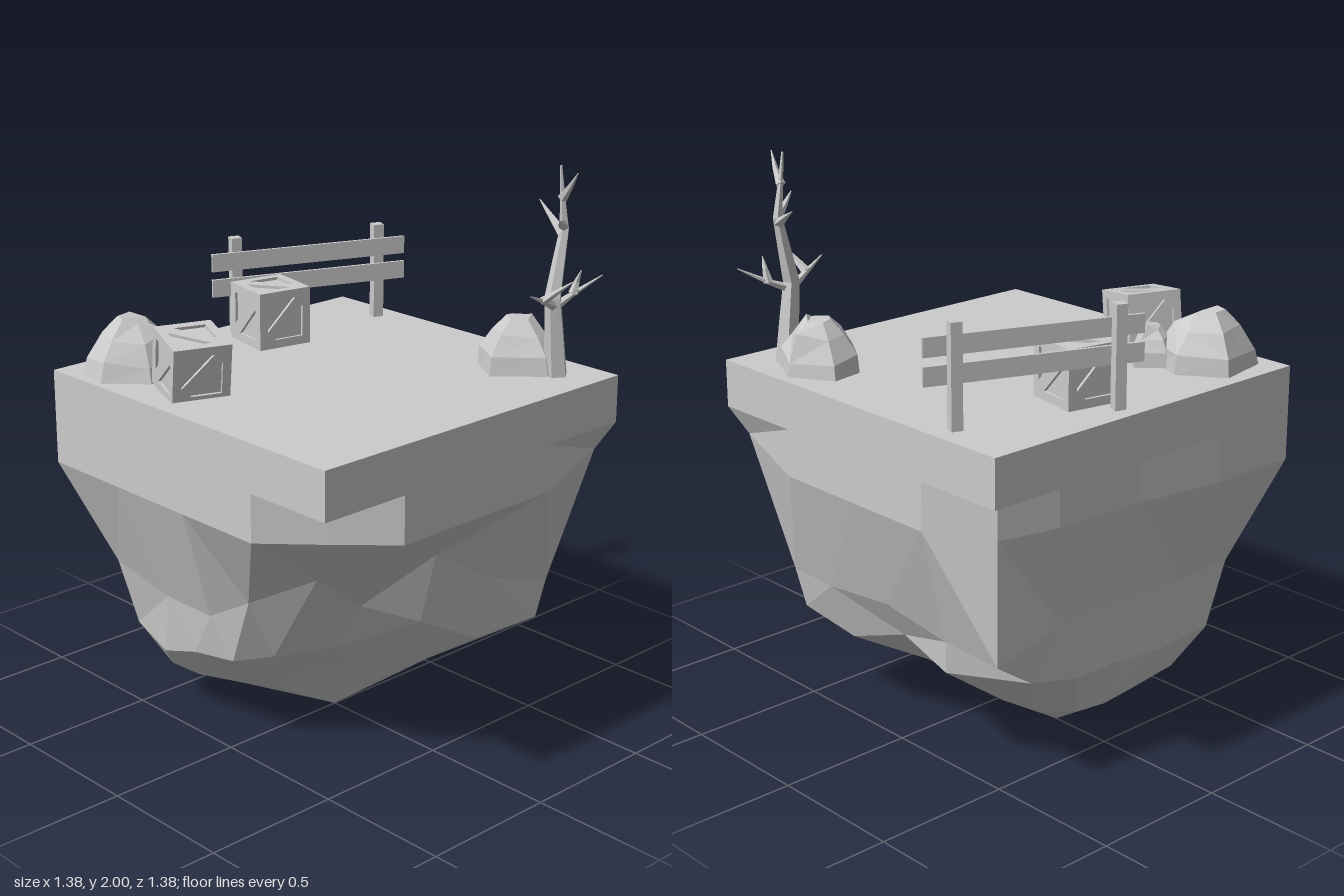
import * as THREE from 'three';

const V = (x, y, z) => new THREE.Vector3(x, y, z);
const material = new THREE.MeshStandardMaterial({ color: 0xcccccc, flatShading: true });

function add(parent, geometry, name, x = 0, y = 0, z = 0) {
  const mesh = new THREE.Mesh(geometry, material);
  mesh.name = name;
  mesh.position.set(x, y, z);
  parent.add(mesh);
  return mesh;
}

// Faceted skin over closed rings, given from bottom to top and counter-clockwise, capped at both ends
function loft(rings) {
  const points = [];
  const tri = (a, b, c) => {
    if (new THREE.Triangle(a, b, c).getArea() > 1e-7) points.push(a, b, c);
  };
  const n = rings[0].length, last = rings[rings.length - 1];
  for (let k = 0; k + 1 < rings.length; k++) {
    const a = rings[k], b = rings[k + 1];
    for (let i = 0; i < n; i++) {
      const j = (i + 1) % n;
      // split each quad along its shorter diagonal
      if (a[i].distanceTo(b[j]) < a[j].distanceTo(b[i])) {
        tri(a[i], a[j], b[j]);
        tri(a[i], b[j], b[i]);
      } else {
        tri(a[i], a[j], b[i]);
        tri(a[j], b[j], b[i]);
      }
    }
  }
  for (let i = 1; i + 1 < n; i++) {
    tri(rings[0][0], rings[0][i + 1], rings[0][i]);
    tri(last[0], last[i], last[i + 1]);
  }
  const geometry = new THREE.BufferGeometry().setFromPoints(points);
  geometry.computeVertexNormals();
  return geometry;
}

// Square ground slab whose underside shrinks through uneven rings to a short ridge
function islandGeometry() {
  const H = 0.69;
  const corners = [[-H, H], [H, H], [H, -H], [-H, -H]];
  const square = [];
  corners.forEach(([x, z], c) => {
    const [nx, nz] = corners[(c + 1) % 4];
    for (let k = 0; k < 4; k++) square.push([x + (nx - x) * k / 4, z + (nz - z) * k / 4]);
  });
  const level = (y) => square.map(([x, z]) => V(x, y, z));

  // below the slab two opposite corners are cut off and the back steps in
  const cut = (y) => {
    const points = level(y);
    points[0].set(-0.52, y, 0.52);
    points[8].set(0.57, y, -0.57);
    points[9].z = -0.62;
    points[10].z = -0.64;
    return points;
  };
  const rim = cut(0.93);
  rim[4].set(0.64, 1.0, 0.64);

  // each row of the rock rings is one side: front, right, back, left
  const ring = (sides) => sides.flat().map((p) => V(...p));
  const waist = ring([
    [[-0.41, 0.72, 0.35], [-0.2, 0.56, 0.34], [0, 0.74, 0.5], [0.27, 0.58, 0.51]],
    [[0.55, 0.5, 0.52], [0.56, 0.5, 0.3], [0.56, 0.53, 0], [0.53, 0.47, -0.27]],
    [[0.57, 0.49, -0.57], [0.28, 0.55, -0.57], [0, 0.56, -0.57], [-0.28, 0.55, -0.57]],
    [[-0.54, 0.55, -0.56], [-0.54, 0.5, -0.28], [-0.54, 0.5, -0.05], [-0.52, 0.6, 0.13]],
  ]);
  const belly = ring([
    [[-0.4, 0.36, 0.12], [-0.2, 0.37, 0.23], [0, 0.47, 0.43], [0.25, 0.34, 0.46]],
    [[0.52, 0.35, 0.5], [0.48, 0.29, 0.28], [0.48, 0.39, 0], [0.52, 0.35, -0.26]],
    [[0.38, 0.36, -0.53], [0.2, 0.33, -0.56], [0, 0.33, -0.56], [-0.22, 0.3, -0.55]],
    [[-0.48, 0.3, -0.53], [-0.51, 0.26, -0.34], [-0.52, 0.32, -0.16], [-0.5, 0.34, 0.02]],
  ]);
  const foot = ring([
    [[-0.2, 0.24, 0.08], [-0.1, 0.22, 0.12], [0, 0.18, 0.15], [0.13, 0.17, 0.2]],
    [[0.25, 0.18, 0.23], [0.26, 0.18, 0.13], [0.26, 0.17, 0], [0.26, 0.16, -0.26]],
    [[0.2, 0.15, -0.4], [0.08, 0.12, -0.44], [-0.04, 0.12, -0.46], [-0.17, 0.14, -0.47]],
    [[-0.4, 0.14, -0.44], [-0.39, 0.14, -0.3], [-0.32, 0.14, -0.14], [-0.25, 0.14, -0.04]],
  ]);
  const ridge = square.map(([, z]) => V(0, 0, Math.min(0, Math.max(-0.26, z))));
  return loft([ridge, foot, belly, waist, rim, cut(1.1), level(1.1), level(1.27)]);
}

// Boulder: six uneven columns of facets closing towards a small top
function rockGeometry(radius, height, seed) {
  const rand = () => (seed = (seed * 16807) % 2147483647) / 2147483647;
  const columns = Array.from({ length: 6 }, (_, i) => [(i + rand() * 0.4) / 6 * Math.PI * 2, 0.94 + rand() * 0.14]);
  const profile = [[1, 0], [0.94, 0.3], [0.64, 0.7], [0.3, 0.95]];
  return loft(profile.map(([r, y], k) => columns.map(([a, s]) => {
    const q = radius * r * s * (0.95 + rand() * 0.1);
    return V(Math.cos(a) * q, k ? height * (y + (rand() - 0.5) * 0.16) : 0, -Math.sin(a) * q);
  })));
}

// Tapered five-sided limb through a few points; it ends in a fine tip
function limbGeometry(path, r0, r1) {
  return loft(path.map((p, k) => {
    const d = path[Math.min(k + 1, path.length - 1)].clone().sub(path[Math.max(k - 1, 0)]).normalize();
    const u = V(0.31, 0.2, 0.93).cross(d).normalize(), v = d.clone().cross(u);
    const r = r0 + (r1 - r0) * k / (path.length - 1);
    return Array.from({ length: 5 }, (_, i) => {
      const a = i / 5 * Math.PI * 2;
      return p.clone().addScaledVector(u, Math.cos(a) * r).addScaledVector(v, Math.sin(a) * r);
    });
  }));
}

// Crate: inset core with a framed, diagonally braced panel on each side
function crate(size) {
  const group = new THREE.Group();
  const h = size / 2, e = h * 0.7, g = size * 0.15, depth = size * 0.07;
  const polygon = (list) => list.map(([x, y]) => new THREE.Vector2(x, y));
  const shape = new THREE.Shape(polygon([[-h, -h], [h, -h], [h, h], [-h, h]]));
  shape.holes.push(new THREE.Path(polygon([[-e, -e + g], [-e, e], [e - g, e]])));
  shape.holes.push(new THREE.Path(polygon([[-e + g, -e], [e, e - g], [e, -e]])));
  const panel = new THREE.ExtrudeGeometry(shape, { depth, bevelEnabled: false });
  panel.translate(0, 0, h - depth);
  const core = size - depth * 1.4;
  add(group, new THREE.BoxGeometry(core, core, core), 'crateCore');
  for (let i = 0; i < 4; i++) add(group, panel, 'cratePanel').rotation.y = i * Math.PI / 2;
  for (const s of [-1, 1]) {
    const lid = add(group, panel.clone().rotateZ(Math.PI / 2), s < 0 ? 'crateTop' : 'crateBottom');
    lid.rotation.x = s * Math.PI / 2;
  }
  return group;
}

function fence() {
  const group = new THREE.Group();
  group.name = 'fence';
  for (const x of [-0.28, 0.28]) add(group, new THREE.BoxGeometry(0.039, 0.355, 0.039), 'fencePost', x, 0.177, -0.024);
  for (const y of [0.177, 0.272]) add(group, new THREE.BoxGeometry(0.757, 0.065, 0.012), 'fenceRail', 0, y, 0);
  return group;
}

function deadTree() {
  const group = new THREE.Group();
  group.name = 'deadTree';
  add(group, limbGeometry([V(0.54, 1.25, 0.54), V(0.525, 1.4, 0.54), V(0.508, 1.55, 0.54),
    V(0.535, 1.67, 0.537), V(0.56, 1.78, 0.535), V(0.545, 1.88, 0.535), V(0.53, 2.0, 0.535)], 0.043, 0.004), 'trunk');
  const branches = [
    [V(0.51, 1.52, 0.545), V(0.42, 1.56, 0.57), V(0.325, 1.6, 0.6)],
    [V(0.42, 1.56, 0.57), V(0.43, 1.6, 0.62), V(0.445, 1.645, 0.68)],
    [V(0.51, 1.52, 0.545), V(0.59, 1.555, 0.56), V(0.685, 1.61, 0.605)],
    [V(0.59, 1.555, 0.56), V(0.595, 1.6, 0.57), V(0.59, 1.64, 0.59)],
    [V(0.555, 1.79, 0.535), V(0.5, 1.815, 0.57), V(0.44, 1.84, 0.615)],
    [V(0.555, 1.76, 0.535), V(0.59, 1.8, 0.45), V(0.63, 1.84, 0.36)],
    [V(0.543, 1.89, 0.535), V(0.53, 1.94, 0.58), V(0.51, 1.99, 0.625)],
  ];
  branches.forEach((path) => add(group, limbGeometry(path, 0.018, 0.002), 'branch'));
  return group;
}

export function createModel() {
  const model = new THREE.Group();
  model.name = 'floatingIsland';
  const ground = 1.27;
  add(model, islandGeometry(), 'island');

  // Boulders: two at the back, one beside the tree
  add(model, rockGeometry(0.175, 0.2, 11), 'largeRock', -0.49, ground, -0.49);
  add(model, rockGeometry(0.09, 0.14, 29), 'smallRock', -0.37, ground, -0.34);
  add(model, rockGeometry(0.148, 0.19, 47), 'treeRock', 0.52, ground, 0.38);

  // One crate leans on the boulders, the other stands flat
  const leaning = crate(0.205);
  leaning.name = 'leaningCrate';
  leaning.rotation.set(0.15, -0.34, 0, 'YXZ');
  leaning.position.set(-0.495, 1.37, -0.172);
  const standing = crate(0.208);
  standing.name = 'standingCrate';
  standing.rotation.y = -0.19;
  standing.position.set(0.1, ground + 0.104, -0.447);

  const rails = fence();
  rails.rotation.y = -0.37;
  rails.position.set(0.333, ground, -0.491);

  model.add(leaning, standing, rails, deadTree());
  return model;
}
